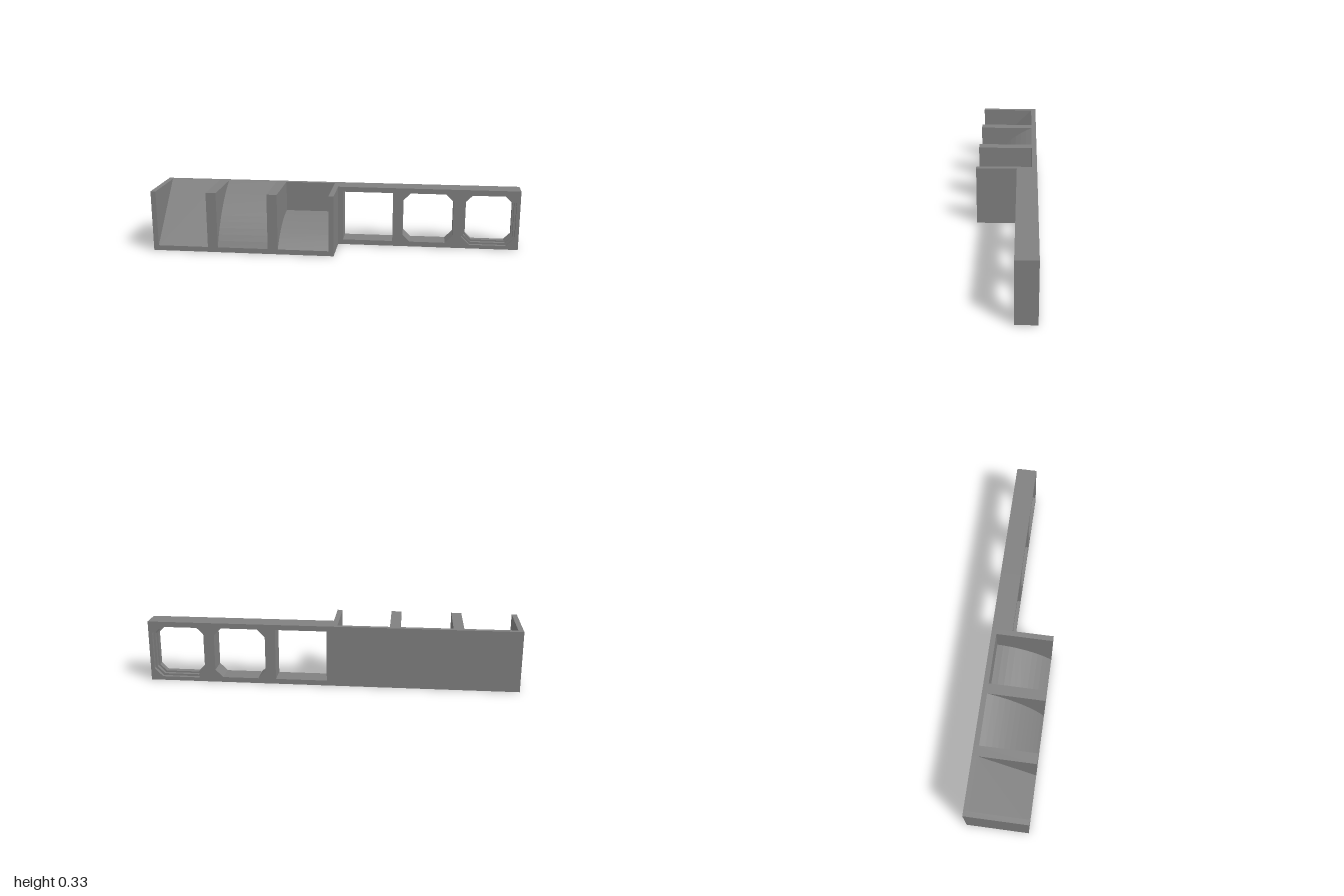
import * as THREE from 'three';

const U = 1 / 36;          // one wall thickness
const H = 12 * U;          // height, and width of one cell
const BACK = -6 * U, FRONT = 6 * U;

export function createModel() {
  const model = new THREE.Group();
  const grey = new THREE.MeshStandardMaterial({ color: 0x808080 });
  const add = (name, geometry) => {
    const mesh = new THREE.Mesh(geometry, grey);
    mesh.name = name;
    model.add(mesh);
  };

  // Shallow hollow arc between two points, swinging by the given half angle
  function arc(a, b, half, steps) {
    const dx = b[0] - a[0], dy = b[1] - a[1];
    const len = Math.hypot(dx, dy);
    const nx = dy / len, ny = -dx / len;   // towards the back and bottom
    const r = len / 2 / Math.sin(half);
    const points = [];
    for (let i = 0; i <= steps; i++) {
      const t = half * (2 * i / steps - 1);
      const along = len / 2 + r * Math.sin(t);
      const sag = r * (Math.cos(t) - Math.cos(half));
      points.push([a[0] + dx / len * along + nx * sag, a[1] + dy / len * along + ny * sag]);
    }
    return points;
  }

  // Open bays: a side profile (z, y) swept across the width
  function bay(name, cell, curve) {
    const outline = [[BACK, 0], [FRONT, 0], ...curve, [BACK, H]];
    const shape = new THREE.Shape(outline.map(p => new THREE.Vector2(...p)));
    const g = new THREE.ExtrudeGeometry(shape, { depth: 10 * U, bevelEnabled: false });
    g.rotateY(-Math.PI / 2);
    g.translate(-1 + cell * H + 11 * U, 0, 0);
    add(name, g);
  }
  const lip = [FRONT, U], top = [BACK + U, H], mid = [BACK + U, 6 * U];
  bay('slopedBay', 0, [lip, top]);
  bay('curvedBay', 1, arc(lip, top, 0.36, 12));
  bay('scoopBay', 2, [...arc(lip, mid, 0.4, 10), top]);

  // Upright walls between the bays
  for (const [x, w] of [[0, 1], [11, 2], [23, 2], [35, 1]]) {
    const g = new THREE.BoxGeometry(w * U, H, FRONT - BACK);
    g.translate(-1 + (x + w / 2) * U, H / 2, 0);
    add('bayWall', g);
  }

  // Square frame plate with a square or corner-cut opening
  function frame(name, cell, half, cut, z0, z1) {
    const s = H / 2;
    const shape = new THREE.Shape([[-s, -s], [s, -s], [s, s], [-s, s]].map(p => new THREE.Vector2(...p)));
    const c = half - cut;
    const corners = cut
      ? [[-c, -half], [-half, -c], [-half, c], [-c, half], [c, half], [half, c], [half, -c], [c, -half]]
      : [[-half, -half], [-half, half], [half, half], [half, -half]];
    shape.holes.push(new THREE.Path(corners.map(p => new THREE.Vector2(...p))));
    const g = new THREE.ExtrudeGeometry(shape, { depth: z1 - z0, bevelEnabled: false });
    g.translate((cell + 0.5) * H, s, z0);
    add(name, g);
  }
  const face = BACK + 4 * U;
  frame('squareWindow', 0, 5 * U, 0, BACK, face);
  frame('chamferedWindow', 1, 5 * U, 1.5 * U, BACK, face);

  // Window stepping inwards from both faces to a central rim
  const steps = [[0, 0.7, 0.146, 0.045], [0.7, 1.4, 0.135, 0.04], [1.4, 2.6, 0.126, 0.036],
    [2.6, 3.3, 0.135, 0.04], [3.3, 4, 0.146, 0.045]];
  for (const [a, b, half, cut] of steps) {
    frame('steppedWindow', 2, half, cut, BACK + a * U, BACK + b * U);
  }
  return model;
}
